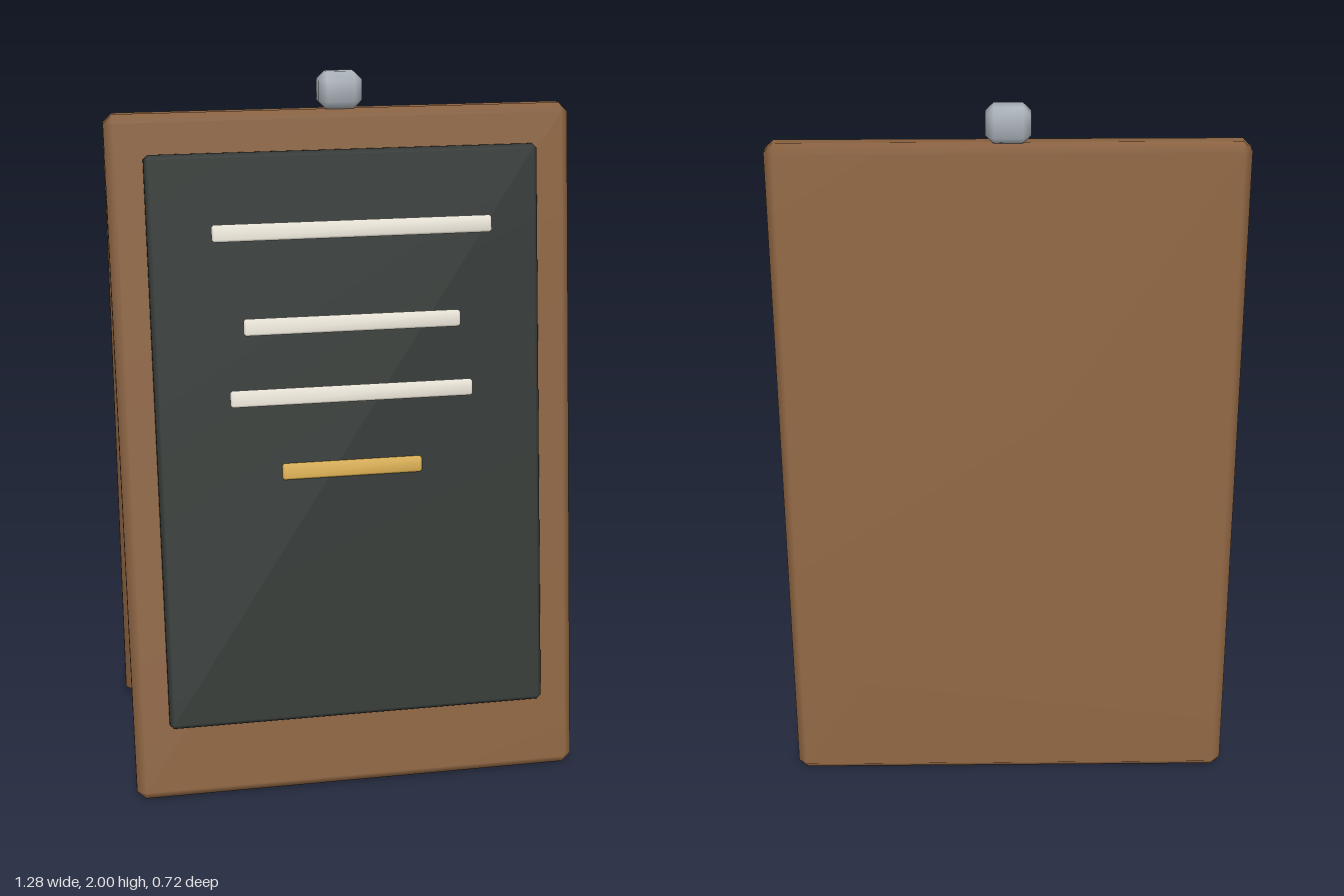
import * as THREE from 'three';
import { mergeVertices } from 'three/addons/utils/BufferGeometryUtils.js';
import { ConvexGeometry } from 'three/addons/geometries/ConvexGeometry.js';

const TILT = 0.17;

// Box with a single soft-shaded chamfer along every edge
function chamferBox(w, h, d, c) {
  const points = [];
  for (const x of [-1, 1]) for (const y of [-1, 1]) for (const z of [-1, 1]) {
    for (let axis = 0; axis < 3; axis++) {
      const inset = [c, c, c];
      inset[axis] = 0;
      points.push(new THREE.Vector3(
        x * (w / 2 - inset[0]), y * (h / 2 - inset[1]), z * (d / 2 - inset[2])));
    }
  }
  const raw = new ConvexGeometry(points);
  raw.deleteAttribute('normal');
  const geometry = mergeVertices(raw, 1e-5);
  geometry.computeVertexNormals();
  return geometry;
}

export function createModel() {
  const model = new THREE.Group();
  model.name = 'sandwichBoard';

  const material = (color) => new THREE.MeshStandardMaterial({ color });
  const wood = material(0x8a6240);
  const slate = material(0x303633);
  const chalk = material(0xe8e3d6);
  const yellow = material(0xd9ad50);
  const metal = material(0xa9b0b8);

  function add(parent, name, geometry, mat, x, y, z, tilt = 0) {
    const mesh = new THREE.Mesh(geometry, mat);
    mesh.name = name;
    mesh.position.set(x, y, z);
    mesh.rotation.x = tilt;
    parent.add(mesh);
    return mesh;
  }

  // Two wooden panels leaning together at the top
  const panel = chamferBox(1.28, 1.925, 0.08, 0.025);
  const front = add(model, 'frontPanel', panel, wood, 0, 0.95, 0.16, -TILT);
  add(model, 'backPanel', panel, wood, 0, 0.95, -0.16, TILT);

  // Writing surface set on the front panel
  add(front, 'chalkboard', chamferBox(1.08, 1.6, 0.04, 0.012), slate, 0, 0.053, 0.047);

  // Written lines: width, height above ground, material
  const lines = [
    [0.755, 1.617, chalk],
    [0.595, 1.357, chalk],
    [0.675, 1.156, chalk],
    [0.395, 0.937, yellow],
  ];
  lines.forEach(([width, y, mat], i) => {
    add(model, `chalkLine${i + 1}`, chamferBox(width, 0.046, 0.02, 0.006), mat, 0, y, 0.227, -TILT);
  });

  // Metal knob on the ridge
  add(model, 'topKnob', chamferBox(0.12, 0.1, 0.08, 0.022), metal, 0, 1.95, 0);

  return model;
}
